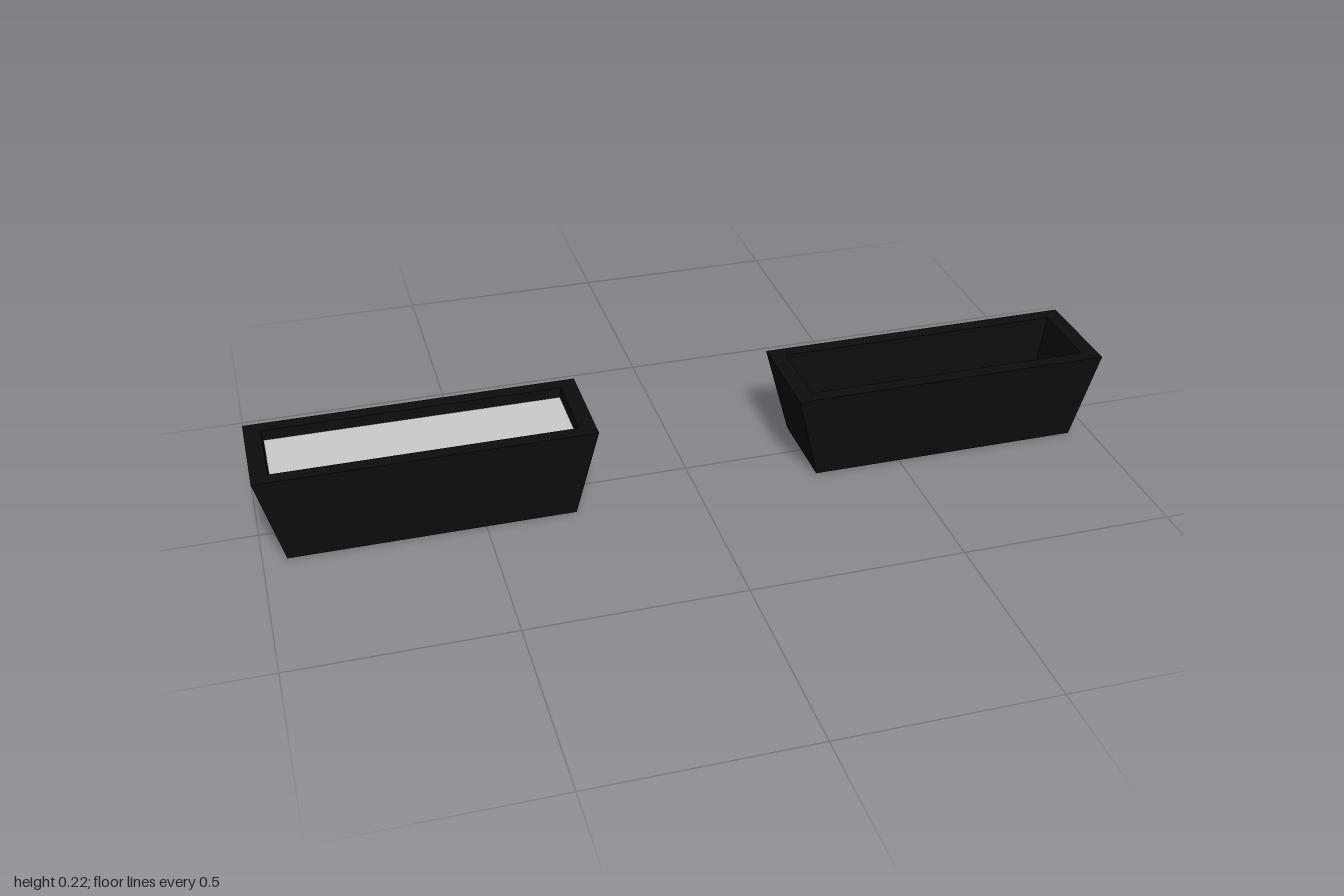
import * as THREE from 'three';

const black = new THREE.MeshStandardMaterial({ color: 0x0d0d0d, flatShading: true });
const grey = new THREE.MeshStandardMaterial({ color: 0xcccccc, flatShading: true });

const HEIGHT = 0.215;
const FLOOR = 0.012;
// half sizes [x, z] of the cavity at its floor and at the rim
const CAVITY_LOW = [0.315, 0.09];
const CAVITY_TOP = [0.343, 0.092];

// Skins a stack of rectangles, each given as [halfX, y, halfZ]
function loftRectangles(rings) {
  const signs = [[1, 1], [1, -1], [-1, -1], [-1, 1]];
  const positions = [];
  const corner = ([hx, y, hz], i) => [signs[i % 4][0] * hx, y, signs[i % 4][1] * hz];
  for (let r = 0; r < rings.length - 1; r++) {
    const low = rings[r], high = rings[r + 1];
    for (let i = 0; i < 4; i++) {
      const a = corner(low, i), b = corner(low, i + 1);
      const c = corner(high, i + 1), d = corner(high, i);
      if (low[0] > 0) positions.push(...a, ...b, ...c);
      else positions.push(...a, ...c, ...d);
      if (low[0] > 0 && high[0] > 0) positions.push(...a, ...c, ...d);
    }
  }
  const geometry = new THREE.BufferGeometry();
  geometry.setAttribute('position', new THREE.Float32BufferAttribute(positions, 3));
  geometry.computeVertexNormals();
  return geometry;
}

// Cavity rectangle at height y
function cavityRing(y) {
  const t = (y - FLOOR) / (HEIGHT - FLOOR);
  const [hx, hz] = CAVITY_LOW.map((v, i) => THREE.MathUtils.lerp(v, CAVITY_TOP[i], t));
  return [hx, y, hz];
}

// Tapered trough with a flat rim, filled up to fillY
function makePlanter(name, x, fillY) {
  const planter = new THREE.Group();
  planter.name = name;
  planter.position.x = x;

  const shell = new THREE.Mesh(loftRectangles([
    [0, 0, 0],
    [0.3275, 0, 0.107],
    [0.3815, HEIGHT, 0.125],
    cavityRing(HEIGHT),
    cavityRing(FLOOR),
    [0, FLOOR, 0],
  ]), black);
  shell.name = 'troughShell';

  const fill = new THREE.Mesh(loftRectangles([
    [0, FLOOR, 0],
    cavityRing(FLOOR),
    cavityRing(fillY),
    [0, fillY, 0],
  ]), grey);
  fill.name = 'filling';

  planter.add(shell, fill);
  return planter;
}

export function createModel() {
  const model = new THREE.Group();
  model.name = 'planterPair';
  model.add(
    makePlanter('filledPlanter', -0.6185, 0.19),
    makePlanter('emptyPlanter', 0.6185, 0.02),
  );
  return model;
}
